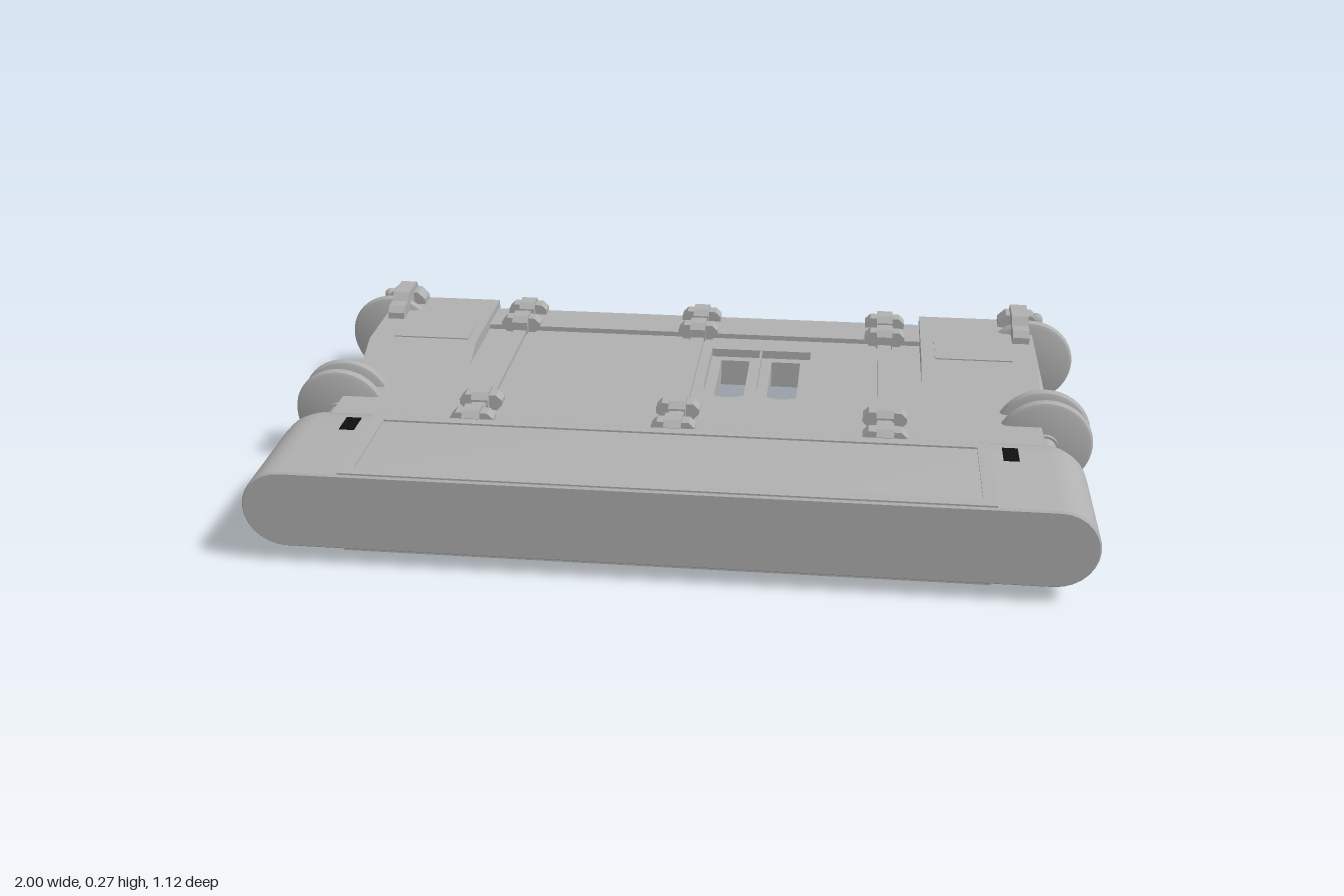
import * as THREE from 'three';
import { toCreasedNormals } from 'three/addons/utils/BufferGeometryUtils.js';

const MID = 0.135; // height of the symmetry plane
const grey = new THREE.MeshStandardMaterial({ color: 0xb0b0b0 });
grey.name = 'body grey';
const black = new THREE.MeshStandardMaterial({ color: 0x101010 });
black.name = 'label black';

export function createModel() {
  const root = new THREE.Group();
  root.name = 'model';

  const add = (name, geo, x = 0, y = 0, z = 0, mat = grey, parent = root) => {
    const m = new THREE.Mesh(geo, mat);
    m.name = name;
    m.position.set(x, y, z);
    parent.add(m);
    return m;
  };
  const box = (name, w, h, d, x, y, z, mat, parent) =>
    add(name, new THREE.BoxGeometry(w, h, d), x, y, z, mat, parent);
  // profile of [z, y] points, extruded from x0 to x1
  const alongX = (pts, x0, x1) => {
    const s = new THREE.Shape(pts.map(([z, y]) => new THREE.Vector2(-z, y)));
    return new THREE.ExtrudeGeometry(s, { depth: x1 - x0, bevelEnabled: false })
      .rotateY(Math.PI / 2).translate(x0, 0, 0);
  };
  // completes an upper profile with its reflection about MID
  const mirrorY = (pts) => [...pts, ...pts.map(([z, y]) => [z, 2 * MID - y]).reverse()];
  // plan shape (x, -z), extruded from y0 to y1
  const alongY = (shape, y0, y1) =>
    new THREE.ExtrudeGeometry(shape, { depth: y1 - y0, bevelEnabled: false, curveSegments: 12 })
      .rotateX(-Math.PI / 2).translate(0, y0, 0);
  const rect = (x0, x1, y0, y1, P = THREE.Shape) => {
    const s = new P();
    s.moveTo(x0, y0).lineTo(x1, y0).lineTo(x1, y1).lineTo(x0, y1).closePath();
    return s;
  };
  const slot = (x0, x1, y0, y1, P = THREE.Shape) => {
    const s = new P(), r = (x1 - x0) / 2;
    s.moveTo(x0, y1).lineTo(x0, y0 + r);
    s.absarc(x0 + r, y0 + r, r, Math.PI, 2 * Math.PI, false);
    s.lineTo(x1, y1).closePath();
    return s;
  };
  // octagonal outline with cut corners
  const octagon = (w, h, c) => new THREE.Shape([
    [-w + c, -h], [w - c, -h], [w, -h + c], [w, h - c],
    [w - c, h], [-w + c, h], [-w, h - c], [-w, -h + c],
  ].map((p) => new THREE.Vector2(...p)));

  // Front block: stadium section lofted along z, tapering at its back end
  const seg = 14, n = 2 * (seg + 1), pos = [], idx = [];
  const rings = [[0.195, 0.026], [0.21, 0.015], [0.25, 0.002], [0.28, 0], [0.555, 0], [0.56, 0.004]];
  for (const [z, inset] of rings) {
    for (let side = 0; side < 2; side++) {
      for (let i = 0; i <= seg; i++) {
        const a = -Math.PI / 2 + side * Math.PI + (i / seg) * Math.PI, r = 0.095 - inset;
        pos.push((side ? -1 : 1) * 0.865 + r * Math.cos(a), MID + r * Math.sin(a), z);
      }
    }
  }
  for (let k = 0; k < rings.length - 1; k++) {
    for (let j = 0; j < n; j++) {
      const a = k * n + j, b = k * n + (j + 1) % n;
      idx.push(a, b, b + n, a, b + n, a + n);
    }
  }
  const last = (rings.length - 1) * n;
  for (let j = 1; j < n - 1; j++) idx.push(0, j + 1, j, last, last + j, last + j + 1);
  const block = new THREE.BufferGeometry();
  block.setAttribute('position', new THREE.Float32BufferAttribute(pos, 3));
  block.setIndex(idx);
  add('frontBlock', toCreasedNormals(block, 0.5));

  // Panel frames and striped labels on both faces of the block
  const frame = rect(-0.73, 0.73, -0.555, -0.25);
  frame.holes.push(rect(-0.7, 0.7, -0.525, -0.275, THREE.Path));
  add('topPanelFrame', alongY(frame, 0.228, 0.234));
  add('bottomPanelFrame', alongY(frame, 0.036, 0.042));
  for (const x of [-0.775, 0.775]) {
    for (const y of [0.23, 0.04]) box('label', 0.036, 0.004, 0.064, x, y, 0.298, black);
  }

  // Deck with two through slots and their recessed ledges
  const deck = rect(-0.87, 0.87, -0.21, 0.43);
  for (const x of [0.03, 0.165]) {
    deck.holes.push(slot(x, x + 0.13, 0.04, 0.345, THREE.Path));
    const ledge = slot(x, x + 0.13, 0.04, 0.345);
    ledge.holes.push(slot(x + 0.027, x + 0.103, 0.07, 0.32, THREE.Path));
    add('slotLedge', alongY(ledge, 0.105, 0.165));
  }
  add('deck', alongY(deck, 0.083, 0.187));

  // Rear beam with chamfered edges
  add('rearBeam', alongX(mirrorY([[-0.42, 0.2], [-0.54, 0.2], [-0.558, 0.185]]), -0.87, 0.87));

  // Clamp: a central strap and a wider octagonal collar
  const clamp = (x, z) => {
    const g = new THREE.Group();
    g.name = 'clamp';
    g.position.set(x, MID, z);
    root.add(g);
    const strap = new THREE.ExtrudeGeometry(octagon(0.034, 0.1, 0.015), { depth: 0.042, bevelEnabled: false })
      .rotateY(Math.PI / 2).translate(-0.021, 0, 0);
    add('clampStrap', strap, 0, 0, 0, grey, g);
    for (const s of [-1, 1]) {
      const collar = new THREE.ExtrudeGeometry(octagon(0.053, 0.02, 0.014), { depth: 0.036, bevelEnabled: false });
      add('clampCollar', collar, 0, s * 0.072, -0.018, grey, g);
    }
  };
  for (const x of [-0.505, -0.015, 0.49]) {
    for (const z of [0.185, 0.08, -0.425, -0.525]) clamp(x, z);
    // rails between the clamps, above and below the deck
    for (const s of [-1, 1]) {
      box('rail', 0.036, 0.02, 0.5, x, MID + s * 0.053, -0.17);
      box('railEnd', 0.036, 0.04, 0.12, x, MID + s * 0.06, 0.135);
      box('rearRailEnd', 0.036, 0.03, 0.1, x, MID + s * 0.06, -0.475);
    }
    box('rearStrap', 0.03, 0.15, 0.012, x, MID, -0.557);
  }

  // Wheel with a rounded rim, axis along z
  const rim = [[0, -0.015], [0.105, -0.015], [0.114, -0.011], [0.119, 0], [0.114, 0.011], [0.105, 0.015], [0, 0.015]];
  const wheel = toCreasedNormals(
    new THREE.LatheGeometry(rim.map((p) => new THREE.Vector2(...p)), 40).rotateX(Math.PI / 2), 0.7);
  const rod = (r0, r1, len) => new THREE.CylinderGeometry(r0, r1, len, 20).rotateX(Math.PI / 2);

  for (const s of [-1, 1]) {
    // Corner housings with sloped fronts and thin lids
    const housing = mirrorY([[-0.155, 0.178], [-0.25, 0.218], [-0.558, 0.218]]);
    add('cornerHousing', alongX(housing, s > 0 ? 0.585 : -0.885, s > 0 ? 0.885 : -0.595));
    for (const y of [0.218, 0.052]) box('housingLid', 0.2, 0.006, 0.13, s * 0.72, y, -0.33);

    // Axle rod, hub and wheels
    add('axleRod', rod(0.028, 0.028, 0.7), s * 0.88, MID, -0.15);
    add('axleTip', rod(0.028, 0.006, 0.015), s * 0.88, MID, -0.507);
    add('wheelHub', rod(0.034, 0.034, 0.11), s * 0.88, MID, 0.01);
    for (const z of [0.04, -0.022, -0.47]) add('wheel', wheel, s * 0.88, MID, z);

    // End bracket: stepped upright plate with a wide collar and ribs
    const step = mirrorY([[-0.39, 0.235], [-0.405, 0.25], [-0.44, 0.25], [-0.457, 0.27], [-0.543, 0.27], [-0.558, 0.25]]);
    add('endBracket', alongX(step, s * 0.85 - 0.022, s * 0.85 + 0.022));
    const collar = new THREE.ExtrudeGeometry(octagon(0.055, 0.118, 0.02), { depth: 0.05, bevelEnabled: false });
    add('bracketCollar', collar, s * 0.852, MID, -0.553);
    const rib = new THREE.CapsuleGeometry(0.018, 0.2, 4, 12);
    add('bracketRib', rib, s * 0.9, MID, -0.527);
  }
  return root;
}
